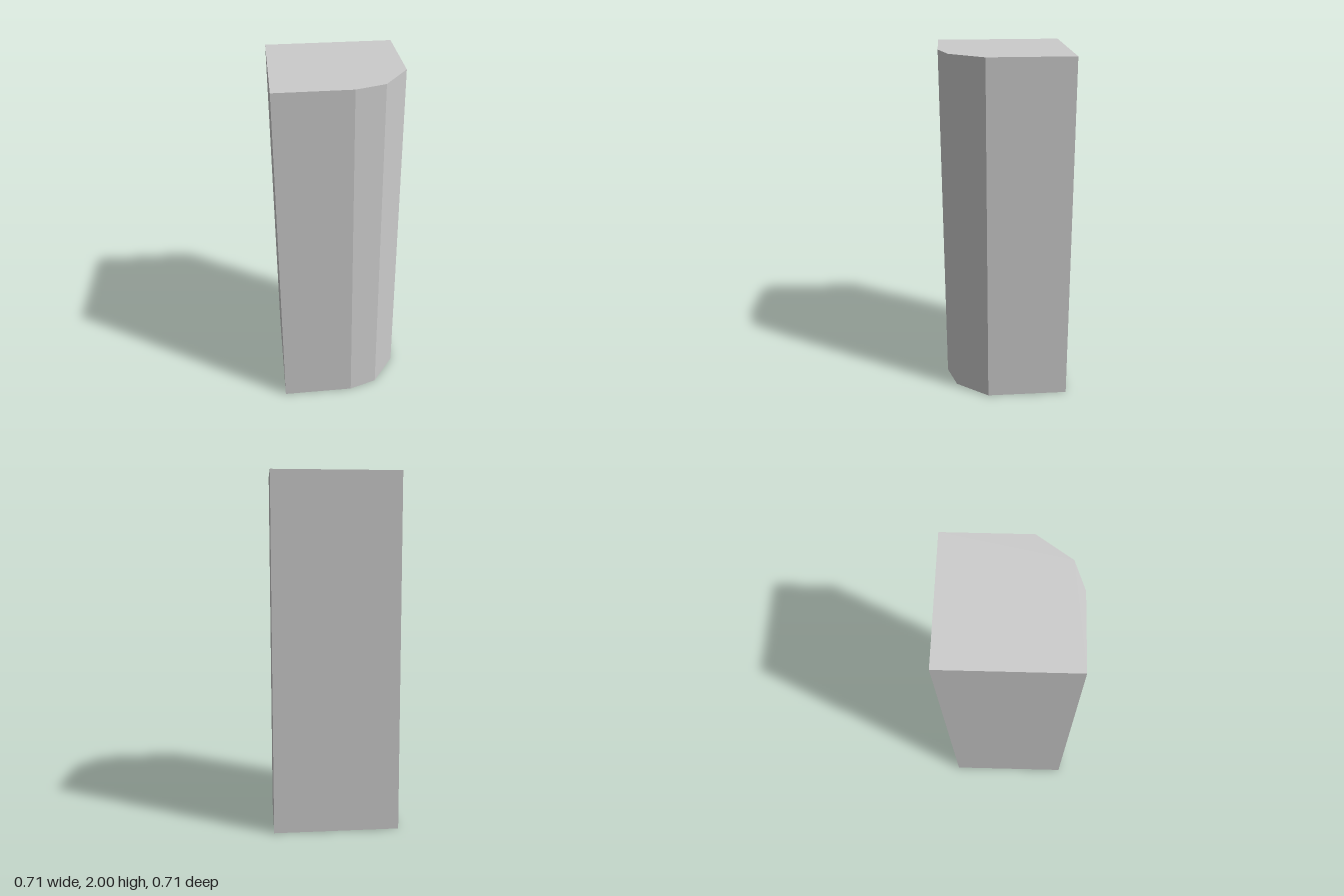
import * as THREE from 'three';

export function createModel() {
  const group = new THREE.Group();
  group.name = 'chamferedBlock';

  // Plan of the pillar as [x, z], with one corner cut by two facets
  const half = 0.354;
  const plan = [
    [-half, half], [0.056, half], [0.218, 0.3], [half, 0.114], [half, -half], [-half, -half],
  ];
  const shape = new THREE.Shape(plan.map(([x, z]) => new THREE.Vector2(x, -z)));

  // Raise the plan straight up from the ground
  const geometry = new THREE.ExtrudeGeometry(shape, { depth: 2, bevelEnabled: false });
  geometry.rotateX(-Math.PI / 2);

  const pillar = new THREE.Mesh(
    geometry,
    new THREE.MeshStandardMaterial({ color: 0xcccccc, flatShading: true }),
  );
  pillar.name = 'pillar';
  group.add(pillar);
  return group;
}
